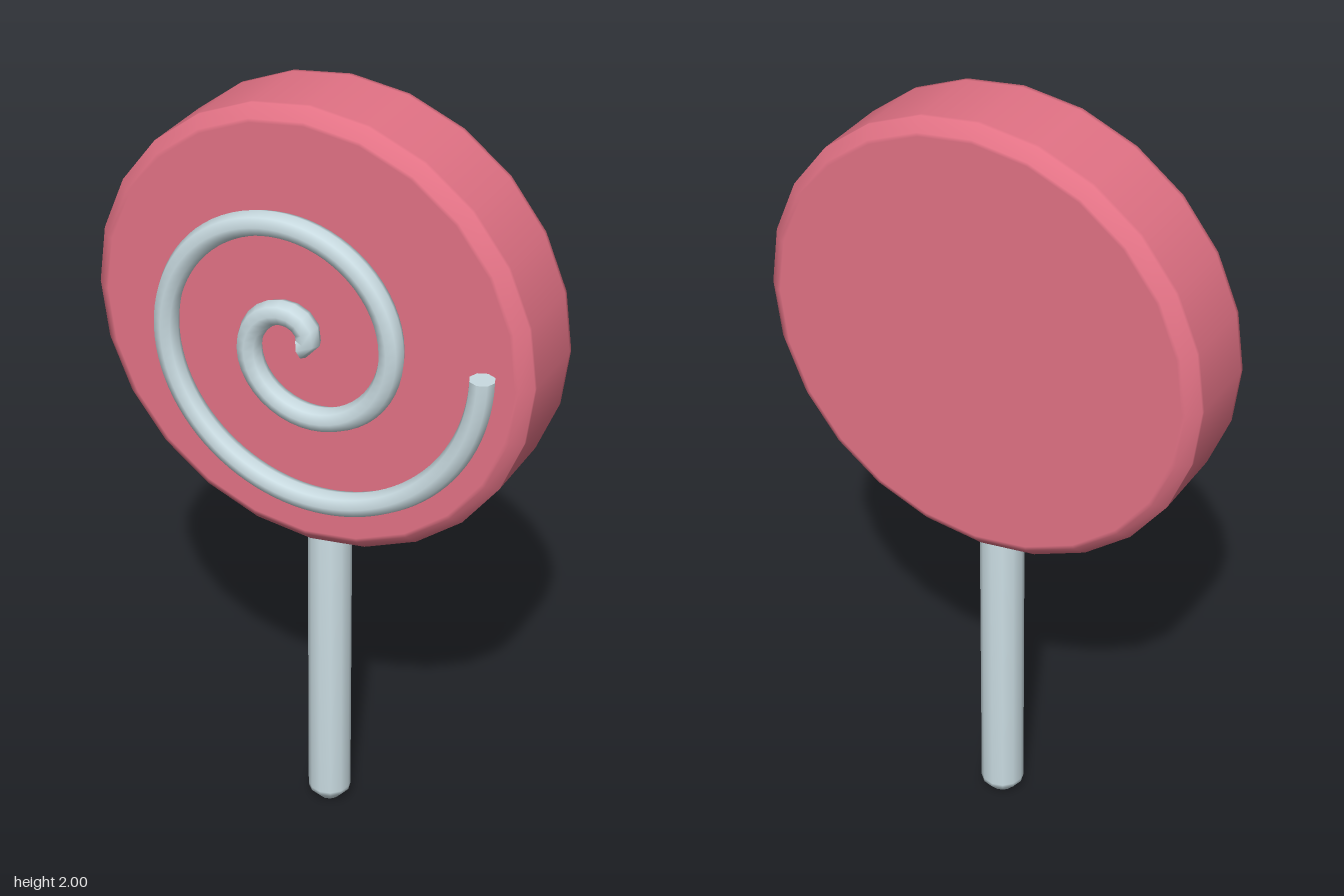
import * as THREE from 'three';

const CANDY_Y = 1.432, CANDY_Z = -0.031;

// Archimedean spiral, wound outward counter-clockwise
class Spiral extends THREE.Curve {
  getPoint(t, target = new THREE.Vector3()) {
    const angle = t * (4 * Math.PI + 0.065);
    const r = 0.0105 + 0.036 * angle;
    return target.set(r * Math.cos(angle), r * Math.sin(angle), 0);
  }
}

function lathe(points, sides) {
  return new THREE.LatheGeometry(points.map(([r, y]) => new THREE.Vector2(r, y)), sides);
}

export function createModel() {
  const group = new THREE.Group();
  const candyRed = new THREE.MeshStandardMaterial({ color: 0xe27285 });
  candyRed.name = 'candyRed';
  const paleBlue = new THREE.MeshStandardMaterial({ color: 0xc9dbe1 });
  paleBlue.name = 'paleBlue';

  const add = (name, geometry, material, parent = group) => {
    const mesh = new THREE.Mesh(geometry, material);
    mesh.name = name;
    parent.add(mesh);
    return mesh;
  };

  // Candy disc with bevelled rims; extra rings keep the faces flat-looking
  const R = 0.568, H = 0.131, B = 0.028;
  const disc = lathe([
    [0, -H], [R - B - 0.01, -H], [R - B, -H], [R, -H + B], [R, -H + B + 0.01],
    [R, H - B - 0.01], [R, H - B], [R - B, H], [R - B - 0.01, H], [0, H],
  ], 24).rotateX(Math.PI / 2);
  add('candyDisc', disc, candyRed).position.set(0, CANDY_Y, CANDY_Z);

  // Stick, tapered at the foot and sunk into the candy
  const stick = lathe([
    [0, 0], [0.028, 0], [0.055, 0.03], [0.055, 0.04], [0.055, 0.95], [0, 0.95],
  ], 12);
  add('stick', stick, paleBlue).position.z = CANDY_Z;

  // Raised spiral on the front, with flat end caps
  const swirl = new THREE.Group();
  swirl.name = 'swirl';
  swirl.position.set(0, 1.43, 0.13);
  group.add(swirl);
  const path = new Spiral();
  add('swirlTube', new THREE.TubeGeometry(path, 120, 0.031, 8, false), paleBlue, swirl);
  for (const [name, t, sign] of [['swirlInnerCap', 0, -1], ['swirlOuterCap', 1, 1]]) {
    const cap = add(name, new THREE.CircleGeometry(0.031, 8), paleBlue, swirl);
    const end = path.getPoint(t);
    cap.position.copy(end);
    cap.up.set(0, 0, 1);
    const outward = path.getTangent(t).multiplyScalar(sign);
    const basis = new THREE.Matrix4().lookAt(outward, new THREE.Vector3(), cap.up);
    cap.quaternion.setFromRotationMatrix(basis);
  }

  return group;
}
